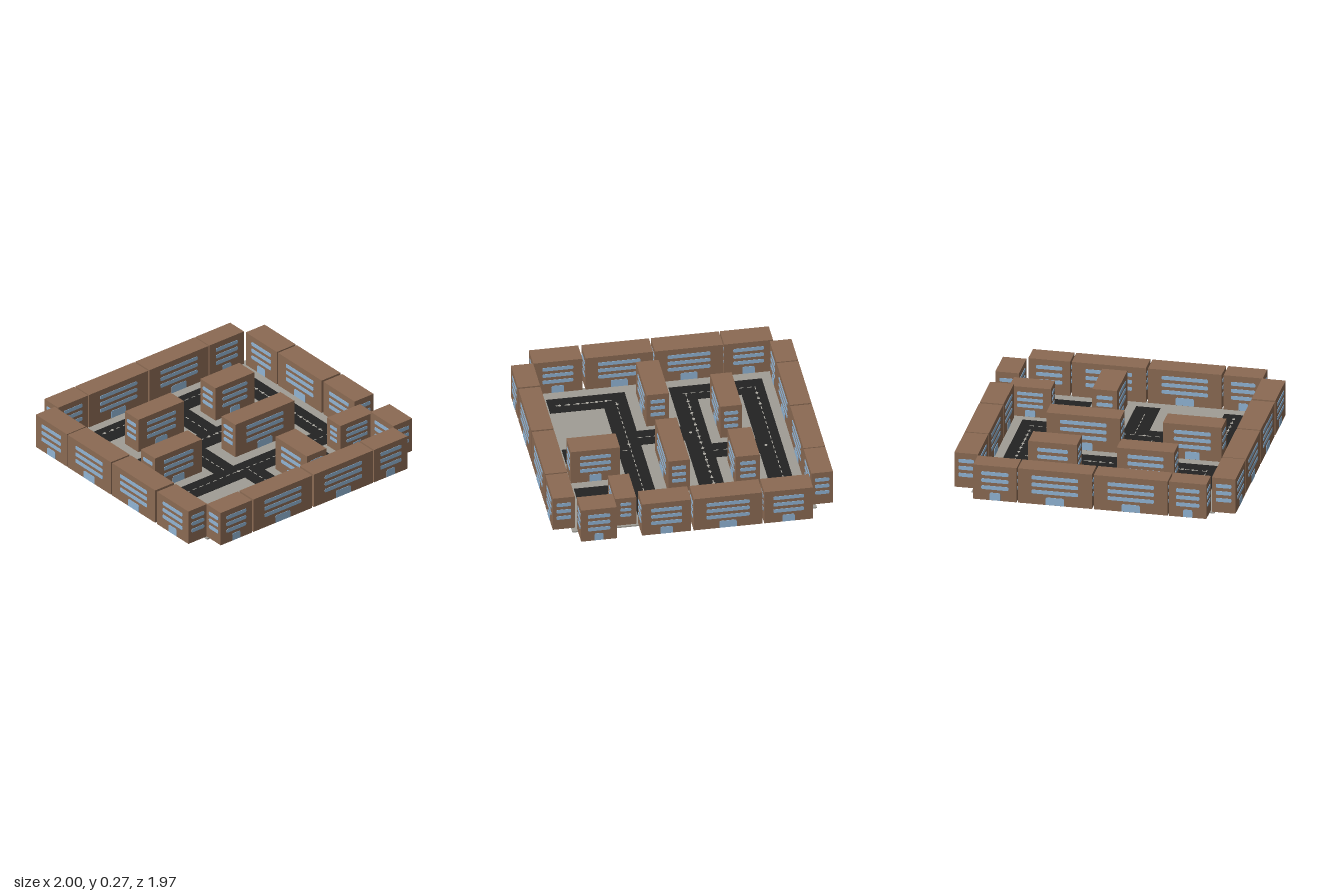
import * as THREE from 'three';

const mat = (name, color) => Object.assign(new THREE.MeshStandardMaterial({ color }), { name });
const wall = mat('brown wall', 0x8b6a53);
const glass = mat('pale blue glass', 0x90b4d4);
const paving = mat('grey paving', 0xa09d95);
const asphalt = mat('black asphalt', 0x222222);
const paint = mat('road paint', 0xb0ada5);

function add(parent, name, geometry, material, x = 0, y = 0, z = 0) {
  const mesh = new THREE.Mesh(geometry, material);
  mesh.name = name;
  mesh.position.set(x, y, z);
  parent.add(mesh);
  return mesh;
}

// Thin plate with rounded top corners, and rounded bottom ones unless flat
function plate(w, h, r, flatBottom = false) {
  const b = flatBottom ? 0 : r, s = new THREE.Shape();
  s.moveTo(-w / 2 + b, 0);
  s.lineTo(w / 2 - b, 0);
  if (b) s.quadraticCurveTo(w / 2, 0, w / 2, b);
  s.lineTo(w / 2, h - r);
  s.quadraticCurveTo(w / 2, h, w / 2 - r, h);
  s.lineTo(-w / 2 + r, h);
  s.quadraticCurveTo(-w / 2, h, -w / 2, h - r);
  s.lineTo(-w / 2, b);
  if (b) s.quadraticCurveTo(-w / 2, 0, -w / 2 + b, 0);
  return new THREE.ExtrudeGeometry(s, { depth: 0.003, bevelEnabled: false, curveSegments: 4 });
}

// Block with three window bands on each side and doors on the long sides
function building(x0, x1, z0, z1, y = 0.01, height = 0.26, endRatio = 0.66) {
  const g = new THREE.Group();
  g.name = 'building';
  const w = x1 - x0, d = z1 - z0, k = height / 0.26;
  add(g, 'walls', new THREE.BoxGeometry(w, height, d), wall, 0, height / 2, 0);
  for (let i = 0; i < 4; i++) {
    const facade = new THREE.Group();
    facade.name = 'facade';
    facade.rotation.y = i * Math.PI / 2;
    const width = i % 2 ? d : w, depth = i % 2 ? w : d;
    const isLong = width > depth;
    const band = plate(width * (isLong ? 0.63 : endRatio), 0.028 * k, 0.011 * k);
    for (const row of [0.081, 0.134, 0.187])
      add(facade, 'window', band, glass, 0, row * k, depth / 2);
    if (isLong) add(facade, 'door', plate(width * 0.25, 0.056 * k, 0.014 * k, true), glass, 0, 0.002, depth / 2);
    g.add(facade);
  }
  g.position.set((x0 + x1) / 2, y, (z0 + z1) / 2);
  return g;
}

const trace = (path, pts) => {
  pts.forEach(([x, z], i) => (i ? path.lineTo(x, -z) : path.moveTo(x, -z)));
  path.closePath();
  return path;
};

export function createModel() {
  const model = new THREE.Group();
  model.name = 'cityBlock';

  // Ground slab
  add(model, 'pavement', new THREE.BoxGeometry(1.715, 0.009, 1.716), paving, 0.007, 0.0055, -0.008);

  // Street network with three paved islands
  const street = trace(new THREE.Shape(), [
    [-0.75, -0.765], [0.765, -0.765], [0.765, 0.37], [0.524, 0.37], [0.524, 0.572],
    [0.765, 0.572], [0.765, 0.75], [0.353, 0.75], [0.353, 0.37], [0.043, 0.37],
    [0.043, 0.75], [-0.13, 0.75], [-0.13, 0.37], [-0.58, 0.37], [-0.58, 0.75],
    [-0.75, 0.75], [-0.75, 0.198], [-0.267, 0.198], [-0.267, -0.11], [-0.75, -0.11],
  ]);
  for (const [a, b, c, d] of [
    [-0.58, -0.027, -0.593, -0.285], [0.144, 0.593, -0.593, -0.285], [-0.096, 0.593, -0.11, 0.198],
  ]) street.holes.push(trace(new THREE.Path(), [[a, c], [a, d], [b, d], [b, c]]));
  const road = new THREE.ExtrudeGeometry(street, { depth: 0.012, bevelEnabled: false });
  add(model, 'road', road.rotateX(-Math.PI / 2), asphalt);

  // Dashed centre lines: x0, z0, x1, z1
  const dash = new THREE.BoxGeometry(0.032, 0.002, 0.006);
  for (const [x0, z0, x1, z1] of [
    [-0.64, -0.7, 0.64, -0.7], [-0.657, -0.66, -0.657, -0.21], [0.06, -0.57, 0.06, -0.3],
    [-0.64, -0.214, 0.61, -0.214], [0.68, -0.65, 0.68, 0.2], [-0.183, -0.09, -0.183, 0.19],
    [-0.62, 0.278, 0.68, 0.278], [-0.663, 0.32, -0.663, 0.68], [-0.043, 0.32, -0.043, 0.61],
    [0.53, 0.663, 0.67, 0.663],
  ]) {
    const n = Math.round(Math.hypot(x1 - x0, z1 - z0) / 0.06);
    for (let i = 0; i <= n; i++) {
      const x = x0 + (x1 - x0) * i / n, z = z0 + (z1 - z0) * i / n;
      add(model, 'laneDash', dash, paint, x, 0.0125, z).rotation.y = x0 === x1 ? Math.PI / 2 : 0;
    }
  }

  // Round studs along the lanes: x0, z0, x1, z1, count
  const stud = new THREE.CylinderGeometry(0.011, 0.011, 0.002, 8);
  for (const [x0, z0, x1, z1, n] of [
    [-0.58, -0.7, -0.445, -0.7, 3], [0.06, -0.65, 0.06, -0.65, 1], [-0.56, -0.214, 0.6, -0.214, 17],
    [0.68, -0.65, 0.68, 0.19, 13], [-0.183, -0.165, -0.183, -0.165, 1],
    [-0.61, 0.275, -0.61, 0.275, 1], [-0.115, 0.28, -0.115, 0.28, 1], [-0.663, 0.345, -0.663, 0.67, 6],
  ]) for (let i = 0; i < n; i++) {
    const t = n > 1 ? i / (n - 1) : 0;
    add(model, 'laneStud', stud, paint, x0 + (x1 - x0) * t, 0.0132, z0 + (z1 - z0) * t);
  }

  // Perimeter rows: start and end of each building along its edge
  for (const [a, b] of [[-0.818, -0.555], [-0.545, -0.023], [-0.01, 0.513], [0.522, 0.828]])
    model.add(building(a, b, -0.985, -0.833));
  for (const [a, b] of [[-0.835, -0.56], [-0.545, -0.025], [-0.01, 0.513], [0.525, 0.82]])
    model.add(building(a, b, 0.825, 0.98));
  for (const [a, b] of [[-0.858, -0.515], [-0.507, -0.03], [-0.016, 0.458], [0.48, 0.825]])
    model.add(building(-0.997, -0.83, a, b));
  for (const [a, b] of [[-0.815, -0.473], [-0.46, 0.022], [0.04, 0.385], [0.562, 0.812]])
    model.add(building(0.83, 0.997, a, b));

  // Buildings inside the blocks
  for (const [x0, x1, z0, z1] of [
    [-0.49, -0.085, -0.507, -0.357], [0.193, 0.537, -0.523, -0.357], [-0.727, -0.312, -0.036, 0.122],
    [-0.01, 0.512, -0.036, 0.115], [0.107, 0.282, 0.413, 0.758],
  ]) model.add(building(x0, x1, z0, z1));
  // Smaller building by the corner gap
  model.add(building(0.572, 0.864, 0.402, 0.55, 0.022, 0.223, 0.52));

  return model;
}
